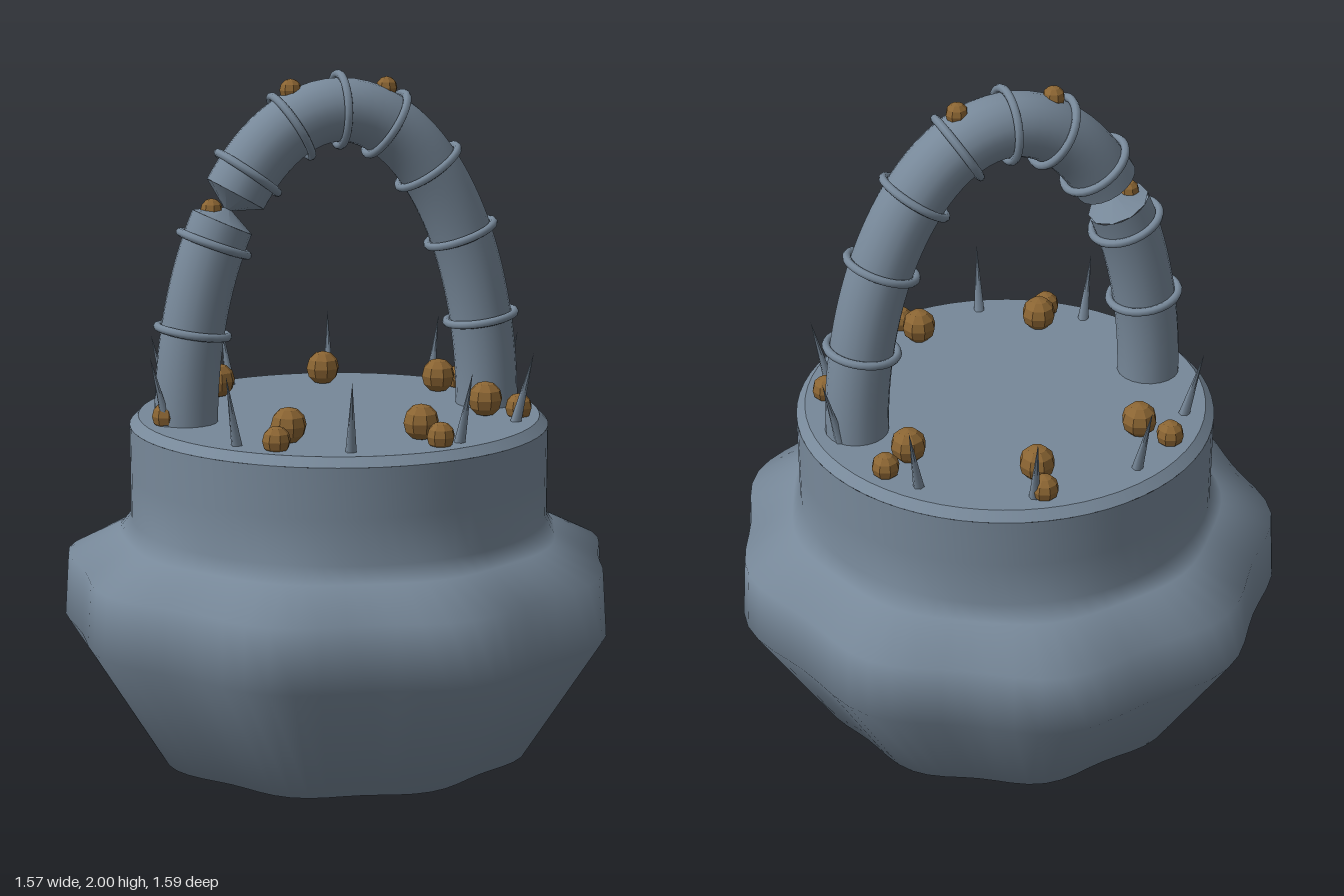
import * as THREE from 'three';
import { mergeVertices } from 'three/addons/utils/BufferGeometryUtils.js';

const slate = new THREE.MeshStandardMaterial({ name: 'slateBlue', color: 0x778899 });
const amber = new THREE.MeshStandardMaterial({ name: 'amberBrown', color: 0x8b6533 });
const UP = new THREE.Vector3(0, 1, 0);
const FORWARD = new THREE.Vector3(0, 0, 1);
const rad = THREE.MathUtils.degToRad;

// Handle centre line: half an ellipse, measured in degrees from the +x foot
const archPoint = (deg) =>
  new THREE.Vector3(0.45 * Math.cos(rad(deg)), 1.01 + 0.88 * Math.sin(rad(deg)), 0);
const archTangent = (deg) =>
  new THREE.Vector3(-0.45 * Math.sin(rad(deg)), 0.88 * Math.cos(rad(deg)), 0).normalize();

class ArchCurve extends THREE.Curve {
  constructor(from, to) {
    super();
    this.from = from;
    this.to = to;
  }
  getPoint(t, target = new THREE.Vector3()) {
    return target.copy(archPoint(this.from + (this.to - this.from) * t));
  }
}

// Point on a circle around the pot's axis, seen from above
const polar = (r, angle, y) => new THREE.Vector3(r * Math.cos(angle), y, -r * Math.sin(angle));

export function createModel() {
  const model = new THREE.Group();
  model.name = 'pot';
  const axis = new THREE.Group();
  axis.name = 'potParts';
  axis.position.x = -0.02;
  model.add(axis);

  const add = (name, geometry, material, position) => {
    const mesh = new THREE.Mesh(geometry, material);
    mesh.name = name;
    if (position) mesh.position.copy(position);
    axis.add(mesh);
    return mesh;
  };

  // Pot body: lathed profile, with nine soft lobes around the belly
  const profile = [
    [0, 0], [0.555, 0.06], [0.782, 0.43], [0.77, 0.61],
    [0.63, 0.685], [0.6, 0.73], [0.6, 0.86], [0.6, 1.0],
  ].map(([r, y]) => new THREE.Vector2(r, y));
  let body = new THREE.LatheGeometry(profile, 72);
  const p = body.attributes.position;
  for (let i = 0; i < p.count; i++) {
    const fade = THREE.MathUtils.clamp((0.73 - p.getY(i)) / 0.1, 0, 1);
    const s = 1 + 0.026 * fade * Math.cos(9 * Math.atan2(p.getZ(i), p.getX(i)));
    p.setXYZ(i, p.getX(i) * s, p.getY(i), p.getZ(i) * s);
  }
  body.deleteAttribute('uv');
  body.deleteAttribute('normal');
  body = mergeVertices(body);
  body.computeVertexNormals();
  add('body', body, slate);

  // Lid with a bevelled edge
  add('lid', new THREE.CylinderGeometry(0.575, 0.6, 0.025, 64), slate, new THREE.Vector3(0, 1.0125, 0));

  // Broken handle: two tubes, each ending in a blunt point at the gap
  const tubeRadius = 0.09;
  add('handleLong', new THREE.TubeGeometry(new ArchCurve(0, 132), 48, tubeRadius, 20), slate);
  add('handleStump', new THREE.TubeGeometry(new ArchCurve(180, 139), 20, tubeRadius, 20), slate);
  for (const [deg, sign, height] of [[132, 1, 0.055], [139, -1, 0.045]]) {
    const dir = archTangent(deg).multiplyScalar(sign);
    const tip = add('brokenEnd', new THREE.ConeGeometry(tubeRadius, height, 10, 1, true), slate,
      archPoint(deg).addScaledVector(dir, height / 2));
    tip.quaternion.setFromUnitVectors(UP, dir);
  }

  // Rings around the handle
  const ringGeometry = new THREE.TorusGeometry(0.1, 0.012, 8, 32);
  for (let k = 1; k <= 9; k++) {
    const ring = add('handleRing', ringGeometry, slate, archPoint(18 * k));
    ring.quaternion.setFromUnitVectors(FORWARD, archTangent(18 * k));
  }

  // Faceted nodules
  const nodule = (name, r, position) => {
    const geometry = new THREE.SphereGeometry(r, 8, 6).toNonIndexed();
    geometry.computeVertexNormals();
    add(name, geometry, amber, position);
  };
  for (let i = 0; i < 7; i++) {
    const angle = 0.5 + (i * Math.PI * 2) / 7;
    nodule('largeNodule', 0.051, polar(0.42, angle, 1.072));
    nodule('smallNodule', 0.04, polar(0.515, angle, 1.05));
  }
  for (const [x, y] of [[-0.14, 1.948], [0.14, 1.948], [-0.37, 1.622]]) {
    nodule('handleNodule', 0.032, new THREE.Vector3(x, y, 0));
  }

  // Ring of thin spikes leaning slightly outwards
  const spikeGeometry = new THREE.ConeGeometry(0.016, 0.21, 6);
  for (let i = 0; i < 10; i++) {
    const angle = rad(5 + 36 * i);
    const base = polar(0.515, angle, 1.02);
    const tip = polar(0.565, angle, 1.225);
    const spike = add('spike', spikeGeometry, slate, base.clone().lerp(tip, 0.5));
    spike.quaternion.setFromUnitVectors(UP, tip.sub(base).normalize());
  }

  return model;
}
